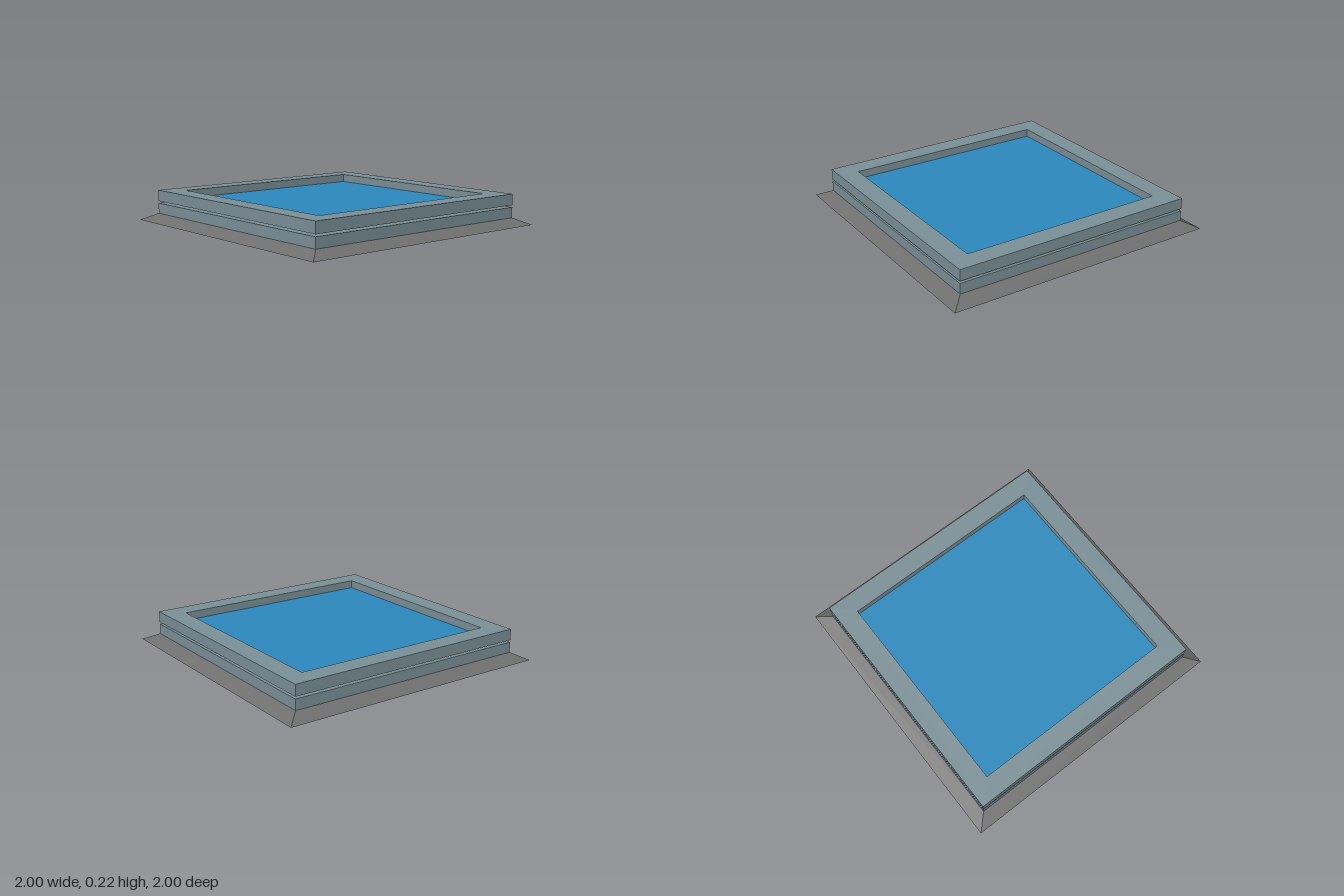
import * as THREE from 'three';

const stone = new THREE.MeshStandardMaterial({ color: 0x7c9299 });
stone.name = 'blue grey stone';
const ground = new THREE.MeshStandardMaterial({ color: 0x706f6f });
ground.name = 'grey footing';
const blue = new THREE.MeshStandardMaterial({ color: 0x2c8bbf });
blue.name = 'water blue';

const OUTER = 0.9, NECK = 0.81, INNER = 0.755;

// Square outline with the given half width
function square(h, Type) {
  return new Type([[-h, -h], [h, -h], [h, h], [-h, h]].map(([x, y]) => new THREE.Vector2(x, y)));
}

function add(group, name, geometry, material, y) {
  const mesh = new THREE.Mesh(geometry, material);
  mesh.name = name;
  mesh.position.y = y;
  group.add(mesh);
}

// Square slab standing between two heights
function slab(group, name, half, y0, y1) {
  add(group, name, new THREE.BoxGeometry(half * 2, y1 - y0, half * 2), stone, (y0 + y1) / 2);
}

export function createModel() {
  const group = new THREE.Group();
  group.name = 'squarePool';

  // Sloped footing: a four-sided frustum turned square to the axes
  const footing = new THREE.CylinderGeometry(OUTER * Math.SQRT2, Math.SQRT2, 0.05, 4)
    .rotateY(Math.PI / 4).toNonIndexed();
  footing.computeVertexNormals();
  add(group, 'footing', footing, ground, 0.025);

  // Lower course and the recessed joint above it
  slab(group, 'lowerCourse', OUTER, 0.05, 0.125);
  slab(group, 'recessedJoint', NECK, 0.125, 0.14);

  // Upper rim with a square opening
  const rim = square(OUTER, THREE.Shape);
  rim.holes.push(square(INNER, THREE.Path));
  const rimGeometry = new THREE.ExtrudeGeometry(rim, { depth: 0.08, bevelEnabled: false })
    .rotateX(-Math.PI / 2);
  add(group, 'upperRim', rimGeometry, stone, 0.14);

  // Water surface inside the rim
  add(group, 'water', new THREE.PlaneGeometry(INNER * 2, INNER * 2).rotateX(-Math.PI / 2), blue, 0.162);

  return group;
}
